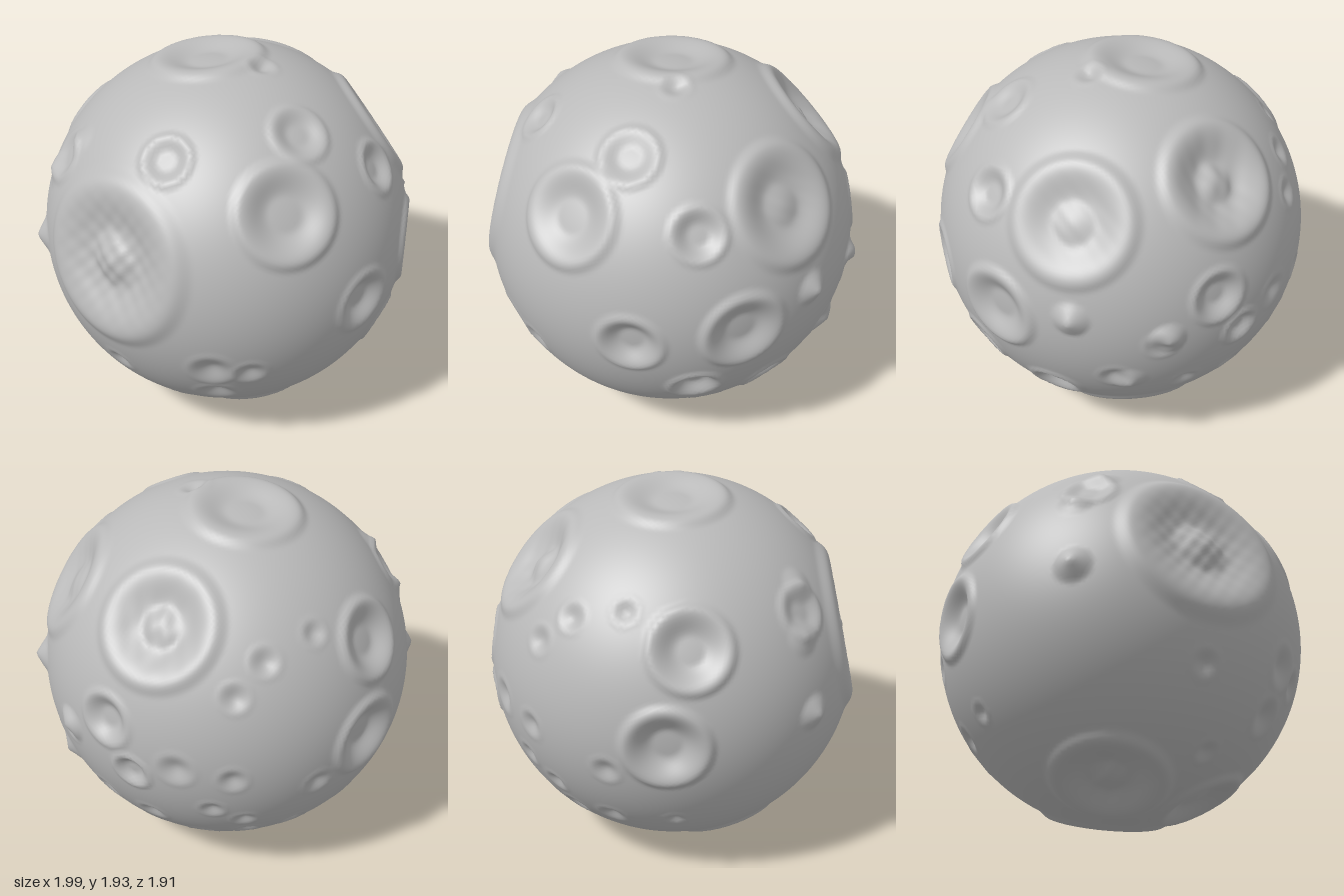
import * as THREE from 'three';
import { mergeVertices } from 'three/addons/utils/BufferGeometryUtils.js';

const RADIUS = 0.952;
const CENTER_Y = 0.963;
const SKIRT = 1.22;

// Each crater: direction x, y, z from the centre, rim radius, depth, central peak height
const bigCraters = [
  [-0.66, 0.215, 0.656, 0.39, 0.08, 0.03],
  [0.33, 0.615, -0.64, 0.28, 0.07, 0.025],
  [0.36, -0.86, -0.21, 0.31, 0.07, 0.015],
  [0.79, 0.525, -0.07, 0.28, 0.05, 0.012],
  [-0.09, 0.94, -0.09, 0.26, 0.045, 0],
  [-0.37, -0.87, 0.06, 0.27, 0.055, 0.015],
  [0.12, -0.86, 0.38, 0.22, 0.05, 0],
  [0.2, 0.515, 0.78, 0.23, 0.045, 0],
  [0.9, 0.0, 0.28, 0.2, 0.045, 0],
  [-0.68, 0.43, -0.5, 0.19, 0.05, 0],
  [-0.688, -0.034, -0.657, 0.2, 0.06, 0],
];
const mediumCraters = [
  [0.6, -0.04, 0.74, 0.16, 0.05, 0],
  [0.7, 0.515, 0.4, 0.13, 0.035, 0],
  [0.29, 0.765, 0.48, 0.14, 0.025, 0],
  [-0.34, 0.7, 0.55, 0.12, 0.025, 0],
  [-0.86, 0.52, 0.1, 0.13, 0.015, 0],
  [0.59, 0.135, -0.74, 0.14, 0.045, 0],
  [0.75, -0.385, 0.45, 0.13, 0.045, 0],
  [0.81, -0.5, 0.03, 0.13, 0.045, 0],
  [0.47, -0.12, -0.82, 0.1, 0.03, 0],
];
// Small pits: direction and radius
const pits = [
  [-0.17, -0.3, 0.9, 0.12], [-0.13, -0.53, 0.78, 0.11], [0.02, -0.32, 0.9, 0.09],
  [-0.6, -0.42, 0.6, 0.08], [-0.3, -0.74, 0.52, 0.07], [0.6, -0.685, 0.25, 0.09],
  [0.79, -0.07, -0.53, 0.09], [0.84, -0.31, -0.31, 0.09], [0.6, -0.42, -0.58, 0.08],
  [0.38, -0.46, -0.74, 0.08], [0.12, -0.65, -0.69, 0.08], [-0.1, -0.59, -0.75, 0.08],
  [-0.33, -0.55, -0.7, 0.08], [-0.6, -0.53, -0.52, 0.06], [0.25, -0.03, -0.91, 0.1],
  [-0.02, -0.07, -0.945, 0.08], [-0.03, 0.37, -0.88, 0.08], [-0.17, 0.51, -0.79, 0.08],
  [-0.4, 0.574, -0.65, 0.07], [-0.44, -0.19, -0.825, 0.08], [-0.08, -0.41, -0.86, 0.07],
  [0.08, -0.3, -0.9, 0.07], [0.16, 0.93, 0.1, 0.08],
];
// Sharp rock points: direction and height
const points = [
  [1, 0.085, -0.13, 0.055], [-1, 0.01, 0.07, 0.05],
  [0.82, -0.04, -0.58, 0.055], [0.87, -0.36, -0.39, 0.035],
  [-0.8, 0.64, 0.15, 0.025], [-0.91, 0.41, 0.05, 0.025],
];

const smooth = THREE.MathUtils.smoothstep;

// Height across a crater: bowl, raised rim, skirt and optional peak
function craterHeight(t, { depth, rim, peak, floor }) {
  if (t >= 1) return rim * (1 - smooth(t, 1, SKIRT));
  return -depth + (depth + rim) * smooth(t, floor, 1) + peak * (1 - smooth(t, 0, 0.45));
}

export function createModel() {
  const rockGrey = new THREE.MeshStandardMaterial({ color: 0xbababa });
  rockGrey.name = 'rock grey';

  // floor is the flat share of each bowl
  const bowls = (list, rim) => list.map(([x, y, z, r, depth, peak]) => (
    { dir: new THREE.Vector3(x, y, z).normalize(), r, depth, peak, rim, floor: 0.35 }));
  const craters = [
    ...bowls(bigCraters, 0.018),
    ...bowls(mediumCraters, 0.01),
    ...pits.map(([x, y, z, r]) => (
      { dir: new THREE.Vector3(x, y, z).normalize(), r, depth: r * 0.28, peak: 0, rim: 0.003, floor: 0 })),
  ];
  const spikes = points.map(([x, y, z, h]) => ({ dir: new THREE.Vector3(x, y, z).normalize(), h }));

  // Even sphere with shared vertices for smooth shading
  let geometry = new THREE.IcosahedronGeometry(1, 60);
  geometry.deleteAttribute('normal');
  geometry.deleteAttribute('uv');
  geometry = mergeVertices(geometry, 1e-5);

  // Push every vertex in or out by the craters around it
  const pos = geometry.attributes.position;
  const v = new THREE.Vector3();
  for (let i = 0; i < pos.count; i++) {
    v.fromBufferAttribute(pos, i).normalize();
    let height = 0;
    for (const c of craters) {
      const t = (v.distanceTo(c.dir) * RADIUS) / c.r;
      if (t > SKIRT) continue;
      height += craterHeight(t, c);
      // Rugged floor in the craters that have a peak
      if (c.peak && t < 1) {
        height += 0.2 * c.peak * (1 - t) * Math.sin(v.x * 47 + v.z * 31) * Math.sin(v.y * 53 - v.z * 23);
      }
    }
    for (const s of spikes) {
      height += s.h * Math.max(0, 1 - v.distanceTo(s.dir) / 0.1);
    }
    v.multiplyScalar(RADIUS + height);
    pos.setXYZ(i, v.x, v.y, v.z);
  }
  geometry.computeVertexNormals();

  const surface = new THREE.Mesh(geometry, rockGrey);
  surface.name = 'crateredSurface';
  surface.position.y = CENTER_Y;

  const model = new THREE.Group();
  model.name = 'crateredMoon';
  model.add(surface);
  return model;
}
